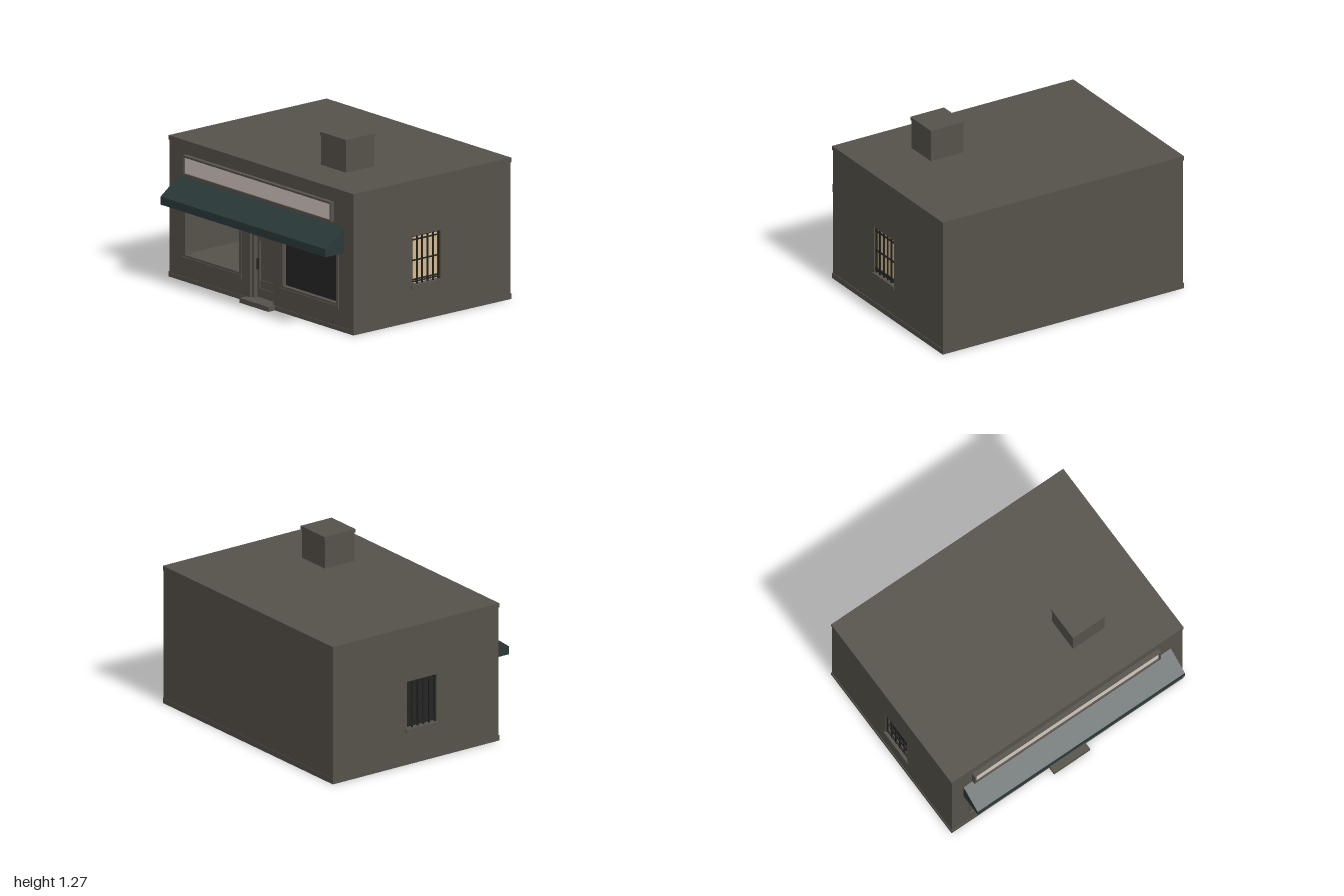
import * as THREE from 'three';

const mat = (name, color) => {
  const m = new THREE.MeshStandardMaterial({ color });
  m.name = name;
  return m;
};

export function createModel() {
  const model = new THREE.Group();
  model.name = 'shop';
  const wall = mat('grey brown masonry', 0x55514a);
  const green = mat('dark green awning', 0x2b3939);
  const cream = mat('pale sign face', 0xd2c6bf);
  const tan = mat('warm window light', 0xd3b98f);
  const dark = mat('dark glass', 0x252525);
  const iron = mat('black iron', 0x20211f);

  const add = (name, geo, m, parent = model) => {
    const mesh = new THREE.Mesh(geo, m);
    mesh.name = name;
    parent.add(mesh);
    return mesh;
  };
  // box given by its limits on each axis
  const box = (name, m, x0, x1, y0, y1, z0, z1, parent = model) => {
    const mesh = add(name, new THREE.BoxGeometry(x1 - x0, y1 - y0, z1 - z0), m, parent);
    mesh.position.set((x0 + x1) / 2, (y0 + y1) / 2, (z0 + z1) / 2);
    return mesh;
  };
  const rect = (P, x0, x1, y0, y1) => {
    const p = new P();
    p.moveTo(x0, y0);
    p.lineTo(x1, y0);
    p.lineTo(x1, y1);
    p.lineTo(x0, y1);
    p.closePath();
    return p;
  };
  // flat panel with rectangular openings, extruded toward +z
  const panel = (outer, holes, depth) => {
    const s = rect(THREE.Shape, ...outer);
    holes.forEach(h => s.holes.push(rect(THREE.Path, ...h)));
    return new THREE.ExtrudeGeometry(s, { depth, bevelEnabled: false });
  };

  // masonry shell
  const front = panel([-0.995, 0.995, 0, 1.01],
    [[-0.83, -0.23, 0.18, 0.565], [0.22, 0.82, 0.18, 0.565], [-0.125, 0.13, 0.035, 0.57]], 0.06);
  add('frontWall', front, wall).position.z = 0.58;
  box('backWall', wall, -0.995, 0.995, 0, 1.01, -0.807, -0.75);
  box('floor', wall, -0.99, 0.99, 0, 0.16, -0.78, 0.58);
  box('roof', wall, -1, 1, 0.997, 1.03, -0.81, 0.645);
  for (const [x0, x1] of [[-1, -0.98], [0.98, 1]]) box('sidePlinth', wall, x0, x1, 0, 0.04, -0.81, 0.645);
  box('frontPlinth', wall, -1, 1, 0, 0.03, 0.62, 0.645);
  box('backPlinth', wall, -1, 1, 0, 0.04, -0.81, -0.79);

  // side walls with barred windows
  for (const side of [1, -1]) {
    const g = new THREE.Group();
    g.name = side > 0 ? 'leftSide' : 'rightSide';
    model.add(g);
    const w = add('sideWall', panel([-0.635, 0.805, 0, 1.01], [[-0.1, 0.16, 0.265, 0.62]], 0.06), wall, g);
    w.rotation.y = Math.PI / 2;
    w.position.x = side > 0 ? 0.935 : -0.995;
    const slab = (name, m, a, b, y0, y1, z0, z1) =>
      box(name, m, Math.min(side * a, side * b), Math.max(side * a, side * b), y0, y1, z0, z1, g);
    slab('windowPane', side > 0 ? tan : dark, 0.95, 0.958, 0.26, 0.625, -0.165, 0.105);
    slab('windowSill', wall, 0.97, 1.005, 0.238, 0.265, -0.17, 0.11);
    for (let i = 0; i < 6; i++) {
      const z = 0.095 - i * 0.05;
      slab('uprightBar', iron, 0.975, 0.985, 0.265, 0.622, z - 0.005, z + 0.005);
    }
    for (const y of [0.285, 0.3, 0.44, 0.59, 0.617])
      slab('crossBar', iron, 0.974, 0.986, y - 0.004, y + 0.004, -0.165, 0.105);
  }

  // shop windows: open room on one side, dark glass on the other
  for (const x of [-0.53, 0.52]) {
    const f = panel([-0.315, 0.315, 0.17, 0.575], [[-0.29, 0.29, 0.195, 0.558]], 0.035);
    add('shopWindowFrame', f, wall).position.set(x, 0, 0.61);
    box('shopWindowSill', wall, x - 0.32, x + 0.32, 0.155, 0.18, 0.62, 0.652);
  }
  box('darkShopGlass', dark, 0.22, 0.82, 0.18, 0.565, 0.595, 0.603);
  box('roomDivider', wall, -0.2, -0.17, 0.16, 1, -0.76, 0.59);

  // door, frame, transom and step
  box('doorBacking', wall, -0.14, 0.145, 0.03, 0.58, 0.555, 0.572);
  const doorFrame = panel([-0.128, 0.133, 0.035, 0.572], [[-0.105, 0.11, 0.036, 0.488], [-0.105, 0.11, 0.508, 0.555]], 0.03);
  add('doorFrame', doorFrame, wall).position.z = 0.59;
  const leaf = panel([-0.105, 0.11, 0.036, 0.488], [[-0.08, 0.085, 0.1, 0.45]], 0.014);
  add('doorLeaf', leaf, wall).position.z = 0.575;
  box('doorHandle', iron, -0.097, -0.087, 0.24, 0.32, 0.589, 0.605);
  box('doorStep', wall, -0.16, 0.15, 0, 0.035, 0.57, 0.705);

  // sloping awning with a straight front edge
  const profile = new THREE.Shape([[-0.64, 0.577], [-0.64, 0.76], [-0.81, 0.635], [-0.81, 0.577]]
    .map(p => new THREE.Vector2(...p)));
  const awning = add('awning', new THREE.ExtrudeGeometry(profile, { depth: 1.785, bevelEnabled: false }), green);
  awning.rotation.y = Math.PI / 2;
  awning.position.x = -0.893;

  // blank sign board
  box('signFace', cream, -0.81, 0.775, 0.79, 0.92, 0.64, 0.66);
  const signFrame = panel([-0.82, 0.785, 0.785, 0.928], [[-0.805, 0.77, 0.797, 0.914]], 0.032);
  add('signFrame', signFrame, wall).position.z = 0.64;

  // chimney
  box('chimney', wall, 0.275, 0.545, 1.02, 1.25, 0.068, 0.325);
  box('chimneyCap', wall, 0.27, 0.55, 1.245, 1.27, 0.06, 0.33);

  return model;
}
